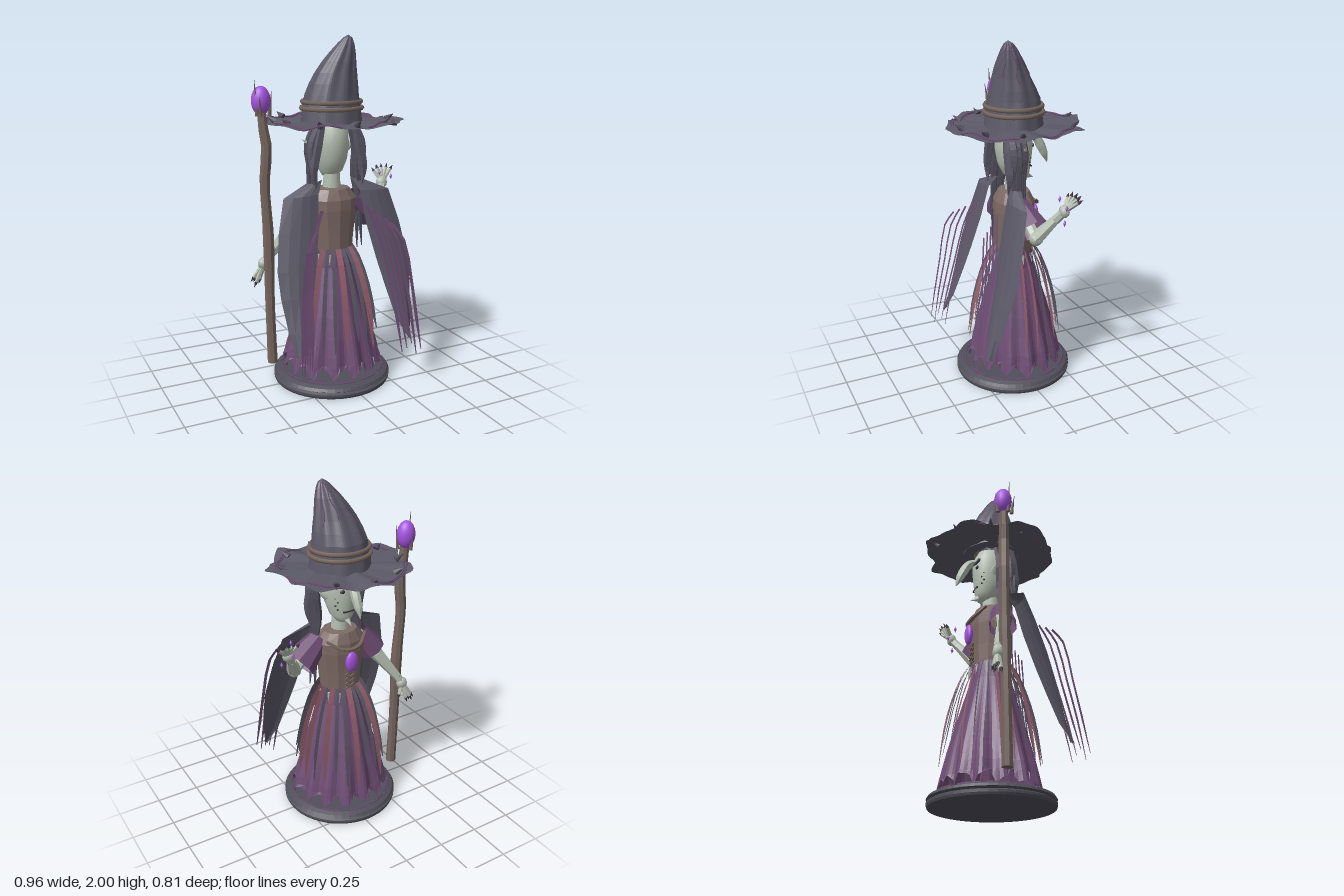
import * as THREE from 'three';

const V = (x, y, z) => new THREE.Vector3(x, y, z);
const TAU = Math.PI * 2;
const mat = (name, color, side = THREE.FrontSide) =>
  Object.assign(new THREE.MeshStandardMaterial({ color, side }), { name });

export function createModel() {
  const D = THREE.DoubleSide;
  const grey = mat('hat cloth', 0x5b5967, D), purple = mat('purple cloth', 0x6e4d74, D);
  const rose = mat('rose cloth', 0x95606d, D), brown = mat('bodice leather', 0x7d6a65);
  const wood = mat('staff wood', 0x75655d), skin = mat('skin', 0xb6c0b2);
  const gem = mat('gem', 0xa554e0), hairMat = mat('hair', 0x504d5a);
  const stone = mat('base stone', 0x504e59), dark = mat('claws', 0x413943);

  const root = new THREE.Group();
  const body = new THREE.Group();
  body.name = 'witch';
  body.position.x = -0.02;
  root.add(body);

  const add = (name, geo, material, pos, scale, rot) => {
    const m = new THREE.Mesh(geo, material);
    m.name = name;
    if (pos) m.position.set(...pos);
    if (scale) m.scale.set(...scale);
    if (rot) m.rotation.set(...rot);
    body.add(m);
    return m;
  };
  // surface from a rule: u runs around, v runs upward
  const grid = (nu, nv, fn, flat = true) => {
    let g = new THREE.PlaneGeometry(1, 1, nu, nv);
    const p = g.attributes.position, uv = g.attributes.uv;
    for (let i = 0; i < p.count; i++) {
      const q = fn(1 - uv.getX(i), uv.getY(i));
      p.setXYZ(i, q.x, q.y, q.z);
    }
    if (flat) g = g.toNonIndexed();
    g.computeVertexNormals();
    return g;
  };
  // piecewise linear lookup in rows of numbers, keyed by v
  const row = (rows, v) => {
    const t = v * (rows.length - 1), i = Math.min(Math.floor(t), rows.length - 2);
    return rows[i].map((a, k) => a + (rows[i + 1][k] - a) * (t - i));
  };
  // rows: [y, centre x, centre z, radius x, radius z]
  const ringPoint = (rows, a, v, w = 1) => {
    const [y, cx, cz, rx, rz] = row(rows, v);
    return V(cx + Math.cos(a) * rx * w, y, cz + Math.sin(a) * rz * w);
  };
  const loft = (rows, n, flat = true, nv = rows.length - 1, wave = () => 1) =>
    grid(n, nv, (u, v) => ringPoint(rows, u * TAU, v, wave(u * TAU, v)), flat);
  const curveOf = (pts, closed = false) => new THREE.CatmullRomCurve3(pts.map(p => V(...p)), closed);
  // tapered limb through points with one radius per point
  const limb = (pts, radii, n = 6, seg = pts.length * 3) => {
    const c = curveOf(pts), f = c.computeFrenetFrames(seg);
    return grid(n, seg, (u, v) => {
      const i = Math.round(v * seg), r = row(radii.map(x => [x]), v)[0], a = -u * TAU;
      return c.getPointAt(v).addScaledVector(f.normals[i], Math.cos(a) * r)
        .addScaledVector(f.binormals[i], Math.sin(a) * r);
    });
  };
  // flat ribbon whose width lies along x
  const ribbon = (pts, w, seg = 8) => {
    const c = curveOf(pts);
    return grid(1, seg, (u, v) => {
      const q = c.getPoint(1 - v);
      q.x += (u - 0.5) * w * (v < 0.25 ? 0.25 + v * 3 : 1);
      return q;
    });
  };
  const cone = (name, from, to, r, m, n = 6) => {
    const a = V(...from), b = V(...to), d = b.clone().sub(a);
    const o = add(name, new THREE.ConeGeometry(r, d.length(), n), m);
    o.position.copy(a).addScaledVector(d, 0.5);
    o.quaternion.setFromUnitVectors(V(0, 1, 0), d.normalize());
  };

  // base with a broken ring of inlay
  add('base', new THREE.LatheGeometry([[0, 0], [0.34, 0], [0.345, 0.012], [0.345, 0.025], [0.33, 0.033],
    [0.345, 0.042], [0.335, 0.058], [0.31, 0.068], [0, 0.068]].map(p => new THREE.Vector2(...p)), 48)
    .toNonIndexed(), stone, [-0.005, 0, 0.005]).geometry.computeVertexNormals();
  for (let i = 0; i < 12; i++)
    add('baseInlay', new THREE.TorusGeometry(0.3, 0.006, 4, 5, 0.4), purple, [0, 0.071, 0], null, [Math.PI / 2, 0, i / 12 * TAU]);

  // pleated skirt with a ragged hem
  const skirtRows = [[0.1, 0, 0, 0.285, 0.265], [0.2, 0, 0, 0.265, 0.245], [0.3, 0, 0, 0.235, 0.225],
    [0.42, 0, 0, 0.205, 0.195], [0.56, 0, 0, 0.165, 0.155], [0.7, 0, 0, 0.125, 0.115], [0.82, 0, 0, 0.11, 0.1]];
  const skirt = loft(skirtRows, 96, true, 12, (a, v) =>
    1 + (1 - v) * (0.06 * Math.sin(a * 14) + 0.02 * Math.sin(a * 5 + 1)));
  const sp = skirt.attributes.position;
  for (let i = 0; i < sp.count; i++) if (sp.getY(i) < 0.101) {
    const a = Math.atan2(sp.getZ(i), sp.getX(i));
    sp.setY(i, 0.11 + 0.03 * Math.sin(a * 14 + 2) + 0.012 * Math.sin(a * 31));
  }
  skirt.computeVertexNormals();
  add('skirt', skirt, purple);

  // torn strips hanging away from the skirt: broad rose ones between narrow grey ones
  for (let i = 0; i < 24; i++) {
    const a = (i + 0.5) / 24 * TAU, c = Math.cos(a) * 0.95, s = Math.sin(a), isRose = i % 3 === 0 || i % 12 === 11;
    const end = 0.19 + (isRose ? 0.06 : 0.13) * Math.abs(Math.sin(i * 2.3));
    const at = (r, y) => [c * r, y, s * r];
    add('skirtStrip', ribbon([at(0.115, 0.81), at(0.165, 0.73), at(0.222, 0.57), at(0.255, 0.42), at(0.28, end)],
      isRose ? 0.036 : 0.024), isRose ? rose : grey);
  }
  // bone charms at the waist
  for (let i = 0; i < 12; i++) {
    const a = i / 12 * TAU, c = Math.cos(a), s = Math.sin(a);
    cone('boneCharm', [c * 0.125, 0.78, s * 0.118], [c * 0.135, 0.72, s * 0.128], 0.01, skin, 5);
  }

  // bodice, lacing and brooch
  add('bodice', loft([[0.8, 0, 0, 0.122, 0.105], [0.9, 0, 0, 0.132, 0.108], [1.03, 0, 0, 0.15, 0.115],
    [1.09, 0, 0, 0.152, 0.112], [1.15, 0, 0, 0.105, 0.088], [1.16, 0, 0, 0.01, 0.01]], 12), brown);
  add('collarTrim', limb([[-0.13, 1.12, -0.07], [-0.05, 1.07, -0.125], [0.05, 1.07, -0.125], [0.13, 1.12, -0.07]],
    [0.009, 0.012, 0.012, 0.009]), wood);
  for (const s of [-1, 1]) for (let i = 0; i < 4; i++)
    add('lacing', new THREE.BoxGeometry(0.07, 0.008, 0.008), wood, [0, 0.82 + i * 0.03, -0.113], null, [0, 0, s * 0.4]);
  add('brooch', new THREE.SphereGeometry(1, 16, 12), gem, [0, 0.985, -0.132], [0.04, 0.062, 0.022]);

  // neck and head
  add('neck', new THREE.CylinderGeometry(0.045, 0.055, 0.16, 10), skin, [0, 1.18, 0]);
  add('head', loft([[1.205, 0, -0.03, 0.004, 0.004], [1.215, 0, -0.03, 0.04, 0.05], [1.25, 0, -0.015, 0.065, 0.08],
    [1.32, 0, -0.003, 0.087, 0.1], [1.4, 0, 0, 0.097, 0.11], [1.48, 0, 0, 0.092, 0.106],
    [1.54, 0, 0, 0.06, 0.075]], 18, false), skin);
  add('nose', limb([[0, 1.465, -0.09], [0, 1.445, -0.135], [0, 1.38, -0.175], [0, 1.305, -0.207], [0, 1.285, -0.213]],
    [0.02, 0.026, 0.028, 0.022, 0.002], 7), skin);
  cone('chin', [0, 1.235, -0.06], [0, 1.205, -0.125], 0.028, skin);
  add('mouth', new THREE.BoxGeometry(0.07, 0.009, 0.009), dark, [0, 1.285, -0.094]);
  for (const s of [-1, 1]) {
    add('eye', new THREE.SphereGeometry(0.016, 10, 8), dark, [s * 0.042, 1.41, -0.098], [1, 0.7, 0.5]);
    add('brow', new THREE.BoxGeometry(0.055, 0.012, 0.012), hairMat, [s * 0.045, 1.445, -0.1], null, [0, s * -0.3, s * 0.3]);
    cone('ear', [s * 0.085, 1.37, -0.01], [s * 0.19, 1.44, 0.01], 0.03, skin, 5);
    for (let i = 0; i < 4; i++)
      add('wart', new THREE.SphereGeometry(0.006, 6, 5), dark, [s * (0.06 + 0.008 * (i % 2)), 1.3 + i * 0.022, -0.075 + 0.01 * (i % 2)]);
    // hair locks at each side, the broad rear pair in the hat's grey
    for (let i = 0; i < 6; i++) {
      const z = 0.09 - i * 0.018, low = [1.17, 1.2, 0.8, 0.93, 0.78, 1.02][i], r = i < 2 ? 0.03 : 0.021;
      add('hairLock', limb([[s * 0.1, 1.53, z], [s * (0.13 + 0.02 * (i % 2)), 1.4, z],
        [s * (0.155 - 0.01 * (i % 3)), 1.25, z + 0.005], [s * (0.14 + 0.012 * (i % 3)), low, z + 0.01]],
        [r * 0.7, r, r * 0.9, 0.003], 5), i < 2 ? grey : hairMat);
    }
  }

  // wavy hat brim
  const edge = curveOf([[0.35, 0, 0], [0.4, 0, 0.105], [0.33, 0, 0.195], [0.27, 0, 0.26], [0.18, 0, 0.378],
    [0.06, 0, 0.362], [-0.04, 0, 0.38], [-0.17, 0, 0.325], [-0.275, 0, 0.25], [-0.365, 0, 0.17], [-0.405, 0, 0.04],
    [-0.365, 0, -0.05], [-0.33, 0, -0.165], [-0.3, 0, -0.27], [-0.2, 0, -0.315], [-0.105, 0, -0.385],
    [-0.03, 0, -0.405], [0.075, 0, -0.375], [0.18, 0, -0.295], [0.29, 0, -0.29], [0.33, 0, -0.19], [0.34, 0, -0.1]], true);
  const brimY = (a, r) => 1.53 + (r / 0.38) * (0.01 * Math.sin(a * 7) + 0.006 * Math.sin(a * 12 + 1));
  add('hatBrim', grid(110, 6, (u, v) => {
    const q = edge.getPoint(u), a = Math.atan2(q.z, q.x), R = q.length() + 0.004 * Math.sin(u * TAU * 22);
    const r = R + (0.1 - R) * v;
    return V(Math.cos(a) * r, brimY(a, r), Math.sin(a) * r);
  }), grey);
  // pleated crown with its tip bent over, bands and veins
  const crownRows = [[1.525, 0, 0, 0.175, 0.165], [1.61, 0, 0, 0.166, 0.153], [1.68, 0.004, 0, 0.152, 0.142],
    [1.74, 0.01, 0.01, 0.138, 0.122], [1.8, 0.018, 0.022, 0.118, 0.1], [1.86, 0.032, 0.034, 0.094, 0.08],
    [1.91, 0.047, 0.044, 0.071, 0.061], [1.955, 0.06, 0.055, 0.046, 0.04], [1.985, 0.068, 0.062, 0.025, 0.022],
    [2.0, 0.07, 0.065, 0.002, 0.002]];
  const pleat = (a, v) => 1 + 0.05 * Math.sin(a * 9 + v * 3) * (0.3 + v);
  add('hatCrown', loft(crownRows, 72, true, 18, pleat), grey);
  [0.1, 0.9, -0.6, -1.3, -2.1].forEach((a, i) => {
    const pts = Array.from({ length: 7 }, (_, k) => {
      const v = 0.4 + 0.06 * (i % 2) + k * 0.075, b = a + 0.08 * Math.sin(k * 1.8 + i);
      return ringPoint(crownRows, b, v, pleat(b, v));
    });
    add('hatVein', new THREE.TubeGeometry(new THREE.CatmullRomCurve3(pts), 20, 0.0035, 4), purple);
  });
  [[1.605, 0.172], [1.64, 0.166]].forEach(([y, r]) =>
    add('hatBand', new THREE.TorusGeometry(r, 0.013, 6, 40), wood, [0, y, 0], [1, 0.95, 1], [Math.PI / 2, 0, 0]));
  for (let i = 0; i < 9; i++) {
    const a = i / 10 * TAU + Math.PI / 10, c = Math.cos(a), s = Math.sin(a);
    cone('brimThorn', [c * 0.315, 1.535, s * 0.315 - 0.01], [c * 0.36, 1.565, s * 0.36 - 0.01], 0.02, hairMat, 7);
  }
  // stitched arcs: start angle, end angle, radius
  [[-1.1, -0.02, 0.325], [0.38, 1.4, 0.342], [1.85, 3.0, 0.345], [3.55, 4.71, 0.347]].forEach(([a0, a1, r0]) =>
    [r0, r0 + 0.012].forEach(r => {
      const pts = Array.from({ length: 9 }, (_, i) => {
        const a = a0 + (a1 - a0) * i / 8;
        return V(Math.cos(a) * r, brimY(a, r) + 0.004, Math.sin(a) * r - 0.01);
      });
      add('brimStitch', new THREE.TubeGeometry(new THREE.CatmullRomCurve3(pts), 24, 0.004, 4), purple);
    }));

  // cape panels with hanging strands
  const capeRows = [[0.29, 0.335, 0.36, 0.325], [0.42, 0.27, 0.385, 0.285], [0.6, 0.225, 0.407, 0.235],
    [0.75, 0.19, 0.41, 0.195], [0.95, 0.15, 0.38, 0.145], [1.14, 0.13, 0.33, 0.1], [1.21, 0.09, 0.17, 0.06]];
  for (const s of [-1, 1]) {
    add('capePanel', grid(4, 6, (u, v) => {
      const [y, x0, x1, z] = row(capeRows, v);
      return V(s * (x0 + (x1 - x0) * u), y - 0.015 * u * v, z + 0.02 * Math.sin(u * Math.PI) - 0.025 * u);
    }), grey);
    for (let i = 0; i < 5; i++) {
      const k = i * 0.022, z = i * 0.03;
      add('capeStrand', ribbon([[s * (0.14 + k), 1.06 - i * 0.02, 0.165 + z], [s * (0.205 + k), 0.88, 0.2 + z],
        [s * (0.245 + k), 0.65, 0.25 + z * 0.8], [s * (0.265 + k), 0.42, 0.31 + z * 0.6],
        [s * (0.285 + k), 0.21 + 0.03 * (i % 3), 0.345 + z * 0.5]], 0.02), purple);
    }
  }

  // arms: sleeve, forearm, palm and clawed fingers
  const arm = (shoulder, elbow, wrist, palm, tips, cuff) => {
    const e = V(...shoulder).lerp(V(...elbow), 0.8).toArray();
    add('sleeve', limb([shoulder, e], [0.06, cuff], 8, 3), purple);
    add('upperArm', limb([shoulder, elbow], [0.03, 0.034], 7, 2), skin);
    add('forearm', limb([elbow, wrist], [0.042, 0.026], 7, 3), skin);
    add('elbow', new THREE.SphereGeometry(0.042, 8, 6), skin, elbow);
    add('palm', new THREE.SphereGeometry(1, 8, 6), skin, palm, [0.038, 0.036, 0.028]);
    add('wrist', limb([wrist, palm], [0.026, 0.024], 6, 2), skin);
    tips.forEach(t => {
      const m = V(...palm).lerp(V(...t), 0.76).toArray();
      add('finger', limb([palm, m], [0.015, 0.01], 5, 2), skin);
      cone('claw', m, t, 0.011, dark, 5);
    });
  };
  arm([0.12, 1.1, 0.03], [0.3, 0.955, 0.005], [0.362, 1.07, -0.08], [0.395, 1.125, -0.115],
    [[0.35, 1.21, -0.165], [0.385, 1.228, -0.172], [0.425, 1.23, -0.18], [0.467, 1.228, -0.178], [0.502, 1.215, -0.168]], 0.1);
  arm([-0.13, 1.09, 0.015], [-0.25, 0.925, -0.015], [-0.36, 0.765, -0.085], [-0.385, 0.72, -0.1],
    [[-0.45, 0.58, -0.1], [-0.46, 0.61, -0.125], [-0.44, 0.6, -0.14], [-0.41, 0.59, -0.13], [-0.35, 0.63, -0.12]], 0.08);
  [[0.45, 1.16, -0.1], [0.38, 1.08, -0.1], [0.43, 1.07, -0.1], [0.37, 1.19, -0.1], [0.38, 1.13, -0.14]].forEach(p =>
    add('floatingGem', new THREE.OctahedronGeometry(0.012), gem, p, [0.8, 1.7, 0.8]));

  // gnarled staff, orb and thorns
  add('staff', limb([[-0.365, 0.13, -0.045], [-0.372, 0.5, -0.05], [-0.372, 0.9, -0.055], [-0.385, 1.2, -0.06],
    [-0.372, 1.4, -0.055], [-0.39, 1.52, -0.06], [-0.394, 1.59, -0.062]],
    [0.031, 0.029, 0.03, 0.034, 0.029, 0.033, 0.026], 8, 16), wood);
  add('staffFoot', new THREE.CylinderGeometry(0.031, 0.031, 0.01, 8), wood, [-0.365, 0.133, -0.045]);
  add('staffOrb', new THREE.SphereGeometry(1, 20, 14), gem, [-0.395, 1.652, -0.067], [0.054, 0.08, 0.05]);
  [[-0.046, 0.02, 1.78], [0.055, 0.02, 1.72], [-0.015, -0.055, 1.7], [-0.03, 0.055, 1.69]].forEach(([x, z, y]) =>
    cone('staffThorn', [-0.394 + x * 0.7, 1.57, -0.063 + z * 0.7], [-0.394 + x, y, -0.063 + z], 0.012, wood, 5));

  return root;
}
